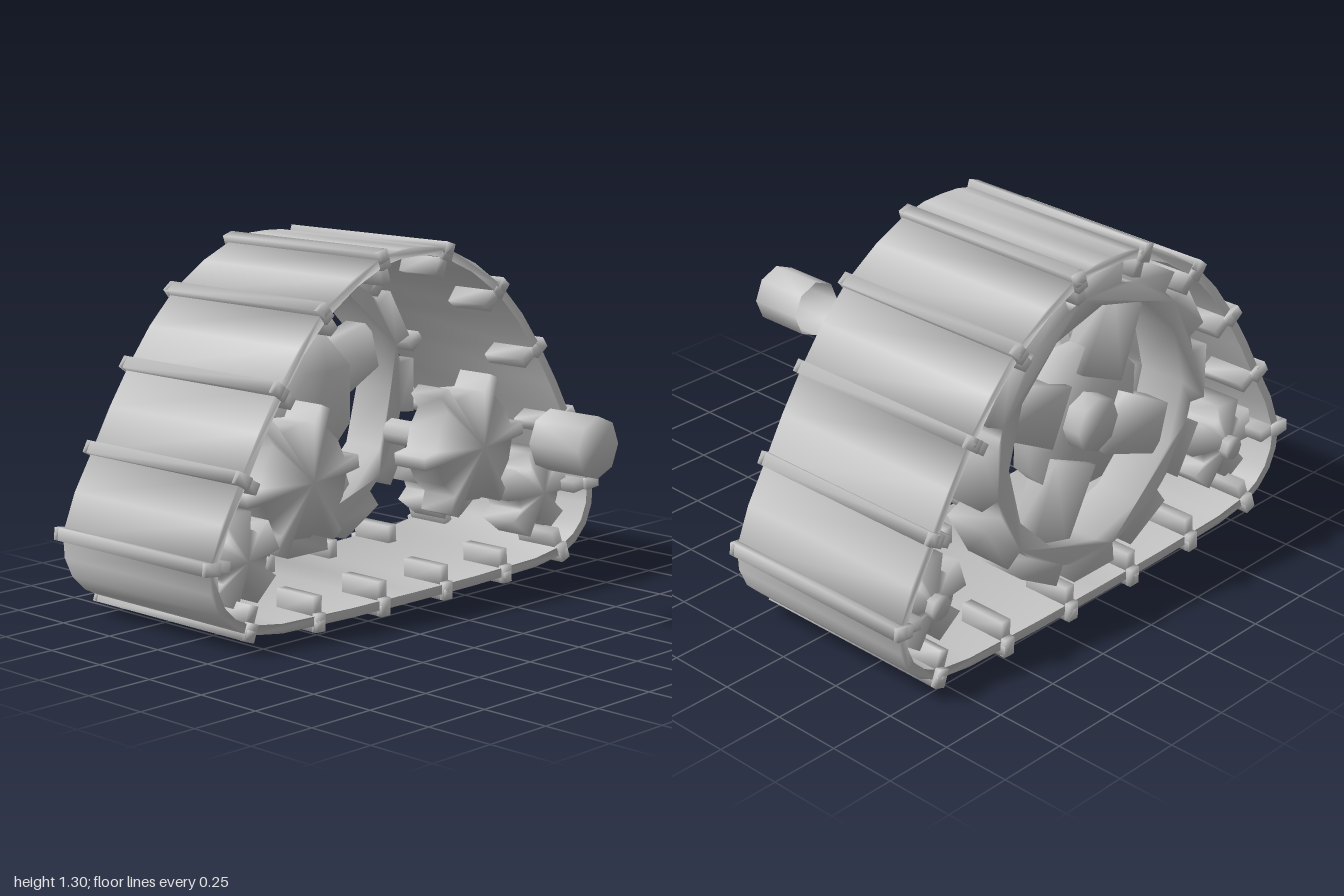
import * as THREE from 'three';

const material = new THREE.MeshStandardMaterial({ color: 0xcccccc, side: THREE.DoubleSide });

// Smooth normals over every edge, each triangle counting equally
function smooth(source) {
  const g = source.index ? source.toNonIndexed() : source;
  g.computeVertexNormals();
  const pos = g.attributes.position;
  const normal = g.attributes.normal;
  const sums = new Map();
  const keys = [];
  for (let i = 0; i < pos.count; i++) {
    const key = [pos.getX(i), pos.getY(i), pos.getZ(i)].map((v) => Math.round(v * 1e4)).join();
    if (!sums.has(key)) sums.set(key, new THREE.Vector3());
    sums.get(key).add(new THREE.Vector3().fromBufferAttribute(normal, i));
    keys.push(key);
  }
  keys.forEach((key, i) => {
    const n = sums.get(key).clone().normalize();
    normal.setXYZ(i, n.x, n.y, n.z);
  });
  return g;
}

function add(parent, name, geometry, x = 0, y = 0, z = 0) {
  const mesh = new THREE.Mesh(smooth(geometry), material);
  mesh.name = name;
  mesh.position.set(x, y, z);
  parent.add(mesh);
  return mesh;
}

// Side-on outline (first coordinate is -z, second is y) extruded along +x from x = 0
function extrudeX(points, holePoints, width) {
  const shape = new THREE.Shape(points);
  if (holePoints) shape.holes.push(new THREE.Path(holePoints));
  return new THREE.ExtrudeGeometry(shape, { depth: width, bevelEnabled: false }).rotateY(Math.PI / 2);
}

const polar = (r, a) => new THREE.Vector2(r * Math.cos(a), r * Math.sin(a));

function circlePoints(r, n) {
  return Array.from({ length: n }, (_, i) => polar(r, (i / n) * Math.PI * 2));
}

// Toothed outline: root and tip are half angles of each tooth
function gearPoints(teeth, rootR, tipR, root, tip, start) {
  const pts = [];
  const step = (Math.PI * 2) / teeth;
  for (let i = 0; i < teeth; i++) {
    const a = start + i * step;
    pts.push(polar(rootR, a - root), polar(tipR, a - tip), polar(tipR, a + tip), polar(rootR, a + root));
    pts.push(polar(rootR, a + step / 2));
  }
  return pts;
}

// Solid gear centred on x = 0, its faces rising to a shallow point
function peakedGear(points, width, peak) {
  const out = [];
  const h = width / 2;
  points.forEach((p, i) => {
    const q = points[(i + 1) % points.length];
    const [a, b] = [[h, p.y, -p.x], [h, q.y, -q.x]];
    const [c, d] = [[-h, p.y, -p.x], [-h, q.y, -q.x]];
    out.push(h + peak, 0, 0, ...a, ...b, -h - peak, 0, 0, ...d, ...c);
    out.push(...a, ...c, ...d, ...a, ...d, ...b);
  });
  const g = new THREE.BufferGeometry();
  g.setAttribute('position', new THREE.Float32BufferAttribute(out, 3));
  return g;
}

// Cylinder or cone lying along x, centred on its own middle
const axialX = (rPlus, rMinus, length, sides, open = false) =>
  new THREE.CylinderGeometry(rPlus, rMinus, length, sides, 1, open).rotateZ(-Math.PI / 2);

export function createModel() {
  const model = new THREE.Group();
  model.name = 'trackUnit';

  // Track path, clockwise from the top
  const half = [[0.16, 1.255], [0.44, 1.1], [0.65, 0.86], [0.82, 0.585], [0.96, 0.31],
    [0.925, 0.16], [0.8, 0.072], [0.48, 0.045], [0.16, 0.04]];
  const path = [[0, 1.275], ...half, ...half.slice().reverse().map(([u, y]) => [-u, y])];
  const curve = new THREE.CatmullRomCurve3(
    path.map(([u, y]) => new THREE.Vector3(u, y, 0)), true, 'centripetal');
  const offsetPath = (d, n) => Array.from({ length: n }, (_, i) => {
    const p = curve.getPoint(i / n);
    const t = curve.getTangent(i / n);
    return new THREE.Vector2(p.x - t.y * d, p.y + t.x * d);
  });
  add(model, 'trackBand', extrudeX(offsetPath(0.016, 38), offsetPath(-0.018, 38), 0.76), -0.77);

  // Cross bars with drive lugs along both edges
  path.forEach(([u, y], i) => {
    if (u === 0 || y === 0.16) return;
    const t = curve.getTangent(i / path.length);
    const cleat = new THREE.Group();
    cleat.name = 'trackCleat';
    cleat.position.set(-0.395, y, -u);
    cleat.rotation.x = Math.atan2(t.y, t.x);
    add(cleat, 'cleatBar', new THREE.BoxGeometry(0.79, 0.04, 0.045), 0, 0.018, 0);
    for (const s of [-1, 1]) {
      add(cleat, 'cleatEnd', new THREE.BoxGeometry(0.02, 0.065, 0.045), s * 0.385, 0.006, 0);
      add(cleat, 'driveLug', new THREE.BoxGeometry(0.18, 0.08, 0.042), s * 0.285, -0.045, 0);
    }
    model.add(cleat);
  });

  // Large drive wheel: toothed rim, four spokes and hub
  const wheel = new THREE.Group();
  wheel.name = 'driveWheel';
  wheel.position.set(0, 0.67, 0);
  add(wheel, 'wheelRim', extrudeX(
    gearPoints(12, 0.5, 0.575, 0.19, 0.18, Math.PI / 2), circlePoints(0.44, 12), 0.18), -0.74);
  for (let i = 0; i < 4; i++) {
    const spoke = extrudeX([new THREE.Vector2(-0.11, 0.15), new THREE.Vector2(0.11, 0.15),
      new THREE.Vector2(0.09, 0.46), new THREE.Vector2(-0.09, 0.46)].reverse(), null, 0.1);
    add(wheel, 'wheelSpoke', spoke, -0.7).rotation.x = 0.42 + (i * Math.PI) / 2;
  }
  add(wheel, 'wheelHub', axialX(0.13, 0.285, 0.1, 8).rotateX(Math.PI / 8), -0.55);
  add(wheel, 'hubDisc', axialX(0.285, 0.285, 0.07, 8).rotateX(Math.PI / 8), -0.635);
  add(wheel, 'hubCap', axialX(0.1, 0.1, 0.08, 8), -0.7);
  model.add(wheel);

  for (const s of [-1, 1]) {
    // Middle sprockets with shallow peaked faces
    const sprocket = new THREE.Group();
    sprocket.name = 'middleSprocket';
    sprocket.position.set(-0.2, 0.51, s * 0.435);
    add(sprocket, 'sprocketTeeth', peakedGear(
      gearPoints(6, 0.205, 0.27, 0.14, 0.09, 0.12), 0.15, 0.05));
    add(sprocket, 'sprocketShaft', axialX(0.05, 0.05, 0.3, 8), -0.2);
    model.add(sprocket);

    // Corner rollers: a flared sprocket at each end of a shaft
    const roller = new THREE.Group();
    roller.name = 'cornerRoller';
    roller.position.set(-0.39, 0.29, s * 0.755);
    const outline = gearPoints(5, 0.11, 0.17, 0.43, 0.36, Math.PI / 2 + (s > 0 ? 0.12 : 0));
    for (const e of [-1, 1]) add(roller, 'rollerTeeth', peakedGear(outline, 0.16, 0.03), e * 0.22);
    add(roller, 'rollerShaft', axialX(0.045, 0.045, 0.62, 8), -0.04);
    model.add(roller);
  }

  // Separate axle stub: closed outer end, open inner end
  const stub = axialX(0.106, 0.106, 0.21, 8, true).toNonIndexed();
  const cap = new THREE.CircleGeometry(0.106, 8).rotateX(0).rotateY(Math.PI / 2).toNonIndexed();
  cap.translate(0.105, 0, 0);
  const closed = new THREE.BufferGeometry();
  closed.setAttribute('position', new THREE.Float32BufferAttribute(
    [...stub.attributes.position.array, ...cap.attributes.position.array], 3));
  add(model, 'axleStub', closed, 0.68, 0.683, -0.043);

  return model;
}
